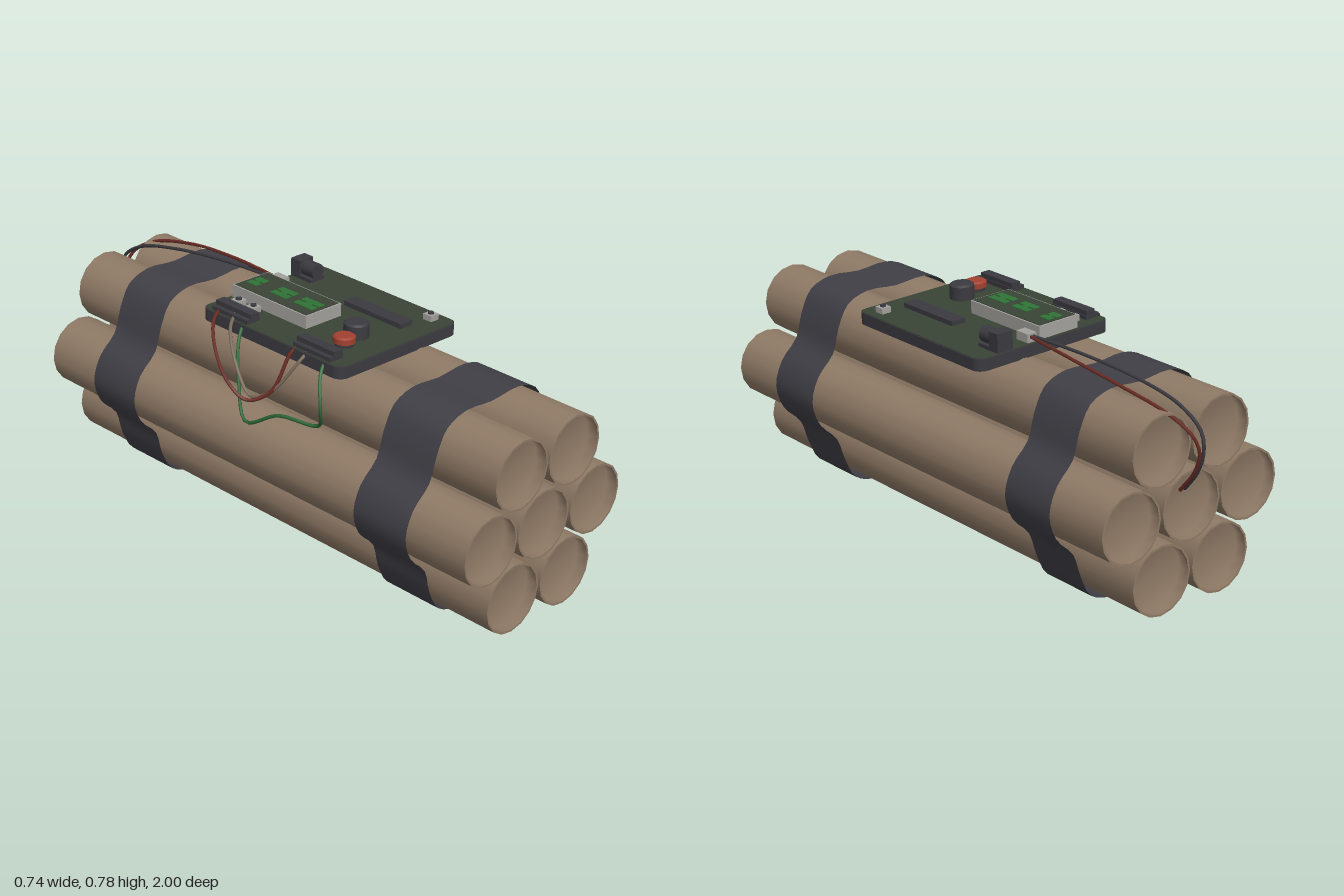
import * as THREE from 'three';
import { toCreasedNormals } from 'three/addons/utils/BufferGeometryUtils.js';

const material = (name, color, side = THREE.FrontSide) => {
  const m = new THREE.MeshStandardMaterial({ color, side });
  m.name = name;
  return m;
};

export function createModel() {
  const model = new THREE.Group();
  model.name = 'tubeBundle';

  const paper = material('brown paper', 0x8f7a66);
  const tape = material('dark tape', 0x403f46, THREE.DoubleSide);
  const plastic = material('dark plastic', 0x3a3a40);
  const boardGreen = material('board green', 0x3a4435);
  const pale = material('pale grey', 0xa3a19d);
  const redCap = material('red cap', 0xa2402f);
  const glow = material('display green', 0x2f7436);
  const redWire = material('wire red', 0x6a2c24);
  const greenWire = material('wire green', 0x2c6634);
  const tanWire = material('wire tan', 0x7a6a5c);

  const add = (parent, name, geo, mat, x = 0, y = 0, z = 0) => {
    const mesh = new THREE.Mesh(geo, mat);
    mesh.name = name;
    mesh.position.set(x, y, z);
    parent.add(mesh);
    return mesh;
  };

  // Paper tubes: outer wall with rims, plus a recessed dish at each end
  const R = 0.119, RI = 0.112, DEPTH = 0.04, BACK = -0.92, FRONT = 1.0;
  const lathe = (pts) =>
    new THREE.LatheGeometry(pts.map(([r, y]) => new THREE.Vector2(r, y)), 16).rotateX(Math.PI / 2);
  const wall = toCreasedNormals(lathe([[RI, BACK], [R, BACK], [R, FRONT], [RI, FRONT]]), 0.7);
  const backDish = lathe([[0, BACK + DEPTH], [RI, BACK + DEPTH], [RI, BACK]]);
  const frontDish = lathe([[RI, FRONT], [RI, FRONT - DEPTH], [0, FRONT - DEPTH]]);
  const centres = [
    [-0.11, 0.573], [0.133, 0.567],
    [-0.238, 0.364], [0.004, 0.359], [0.249, 0.348],
    [-0.126, 0.148], [0.12, 0.141],
  ];
  for (const [x, y] of centres) {
    const tube = new THREE.Group();
    tube.name = 'tube';
    tube.position.set(x, y, 0);
    add(tube, 'tubeWall', wall, paper);
    add(tube, 'tubeBackEnd', backDish, paper);
    add(tube, 'tubeFrontEnd', frontDish, paper);
    model.add(tube);
  }

  // Tape straps: a thin sheet following the outline of the bundle
  const outline = [
    [-0.11, 0.705], [0.01, 0.695], [0.133, 0.70], [0.215, 0.668], [0.257, 0.59],
    [0.282, 0.505], [0.345, 0.435], [0.373, 0.348], [0.345, 0.262], [0.275, 0.19],
    [0.245, 0.11], [0.2, 0.03], [0.12, 0.003], [0, 0.012], [-0.126, 0.012],
    [-0.208, 0.045], [-0.252, 0.125], [-0.275, 0.21], [-0.34, 0.28], [-0.365, 0.364],
    [-0.335, 0.448], [-0.265, 0.515], [-0.235, 0.6], [-0.192, 0.675],
  ];
  const path = new THREE.CatmullRomCurve3(
    outline.map(([x, y]) => new THREE.Vector3(x, y, 0)), true);
  const strap = (name, z0, z1) => {
    const n = 72;
    const geo = new THREE.PlaneGeometry(1, 1, n, 1);
    const pos = geo.attributes.position;
    for (let i = 0; i < pos.count; i++) {
      const p = path.getPoint((i % (n + 1)) / n);
      pos.setXYZ(i, p.x, p.y, i <= n ? z0 : z1);
    }
    geo.computeVertexNormals();
    add(model, name, geo, tape);
  };
  strap('backStrap', -0.69, -0.48);
  strap('frontStrap', 0.55, 0.77);

  // Circuit board, tilted slightly; local y = 0 is its upper face
  const CX = 0.043, CZ = 0.037;
  const board = new THREE.Group();
  board.name = 'circuitBoard';
  board.position.set(CX, 0.728, CZ);
  board.rotation.z = -0.04;
  model.add(board);

  const roundedSlab = (w, d, r, h) => {
    const s = new THREE.Shape();
    const corners = [[1, 1, 0], [-1, 1, 1], [-1, -1, 2], [1, -1, 3]];
    for (const [sx, sy, q] of corners)
      s.absarc(sx * (w / 2 - r), sy * (d / 2 - r), r, q * Math.PI / 2, (q + 1) * Math.PI / 2);
    return new THREE.ExtrudeGeometry(s, { depth: h, bevelEnabled: false, curveSegments: 4 })
      .rotateX(-Math.PI / 2);
  };
  add(board, 'boardBase', roundedSlab(0.545, 0.64, 0.035, 0.04), plastic, 0, -0.042, 0);
  add(board, 'boardFace', roundedSlab(0.537, 0.632, 0.032, 0.003), boardGreen, 0, -0.003, 0);

  // Helpers placing parts on the board by plan position and base height
  const box = (name, mat, x, z, w, d, h, y = 0) =>
    add(board, name, new THREE.BoxGeometry(w, h, d), mat, x - CX, y + h / 2, z - CZ);
  const disc = (name, mat, x, z, r, h, y = 0, top = r) =>
    add(board, name, new THREE.CylinderGeometry(top, r, h, 16), mat, x - CX, y + h / 2, z - CZ);

  // Display with glowing blocks
  box('displayCase', pale, -0.02, -0.1, 0.16, 0.345, 0.044);
  box('displayGlass', boardGreen, -0.02, -0.1, 0.148, 0.333, 0.002, 0.044);
  for (const [z, d] of [[-0.23, 0.045], [-0.105, 0.075], [0.01, 0.085]]) {
    for (const side of [-1, 1])
      box('displaySegment', glow, -0.025 + side * 0.017, z, 0.026, d, 0.002, 0.046);
    box('displaySegment', glow, -0.025, z, 0.05, d * 0.3, 0.002, 0.0465);
  }

  // Wire headers along the left side of the board
  for (const z of [-0.157, 0.22]) {
    box('header', plastic, -0.192, z, 0.056, 0.165, 0.014);
    box('headerTop', plastic, -0.185, z, 0.036, 0.165, 0.016, 0.014);
  }

  // Small push switches
  for (const [x, z] of [[-0.13, -0.21], [-0.13, -0.14], [0.262, 0.283]]) {
    box('switchBody', pale, x, z, 0.036, 0.036, 0.02);
    disc('switchPin', plastic, x, z, 0.01, 0.006, 0.02);
  }

  // Long chip and rear wire plug
  box('chip', plastic, 0.157, 0.145, 0.054, 0.255, 0.016);
  box('wirePlug', pale, 0.091, -0.245, 0.036, 0.055, 0.03);

  // Red button and dark knob
  disc('buttonBase', plastic, -0.095, 0.24, 0.03, 0.014);
  disc('redButton', redCap, -0.095, 0.24, 0.037, 0.018, 0.014);
  disc('redButtonTop', redCap, -0.095, 0.24, 0.037, 0.005, 0.032, 0.03);
  disc('knob', plastic, -0.015, 0.215, 0.042, 0.046);
  disc('knobTop', plastic, -0.015, 0.215, 0.042, 0.006, 0.046, 0.034);

  // Power socket
  box('socketFoot', plastic, 0.205, -0.23, 0.062, 0.095, 0.012);
  box('socketBack', plastic, 0.205, -0.257, 0.062, 0.042, 0.064);
  const barrel = add(board, 'socketBarrel', new THREE.CylinderGeometry(0.027, 0.027, 0.065, 14),
    plastic, 0.205 - CX, 0.035, -0.213 - CZ);
  barrel.rotation.x = Math.PI / 2;

  // Loose wires
  const wire = (name, mat, pts) => {
    const curve = new THREE.CatmullRomCurve3(pts.map((p) => new THREE.Vector3(...p)));
    add(model, name, new THREE.TubeGeometry(curve, 40, 0.006, 6), mat);
  };
  wire('backRedWire', redWire, [
    [0.094, 0.745, -0.26], [0.118, 0.735, -0.5], [0.123, 0.715, -0.72], [0.1, 0.675, -0.9],
    [0.07, 0.62, -0.98], [0.05, 0.565, -0.993], [0.04, 0.49, -0.965], [0.035, 0.41, -0.9],
  ]);
  wire('backBlackWire', plastic, [
    [0.086, 0.745, -0.26], [0.068, 0.74, -0.5], [0.048, 0.72, -0.72], [0.034, 0.68, -0.89],
    [0.028, 0.62, -0.975], [0.03, 0.56, -0.99], [0.025, 0.49, -0.965], [0.015, 0.41, -0.9],
  ]);
  wire('leftRedWire', redWire, [
    [-0.2, 0.748, -0.22], [-0.26, 0.725, -0.19], [-0.33, 0.66, -0.1], [-0.365, 0.6, 0],
    [-0.35, 0.565, 0.06], [-0.3, 0.6, 0.12], [-0.24, 0.72, 0.145], [-0.2, 0.748, 0.15],
  ]);
  wire('leftTanWire', tanWire, [
    [-0.2, 0.748, -0.15], [-0.25, 0.725, -0.12], [-0.305, 0.65, -0.04], [-0.315, 0.56, 0.04],
    [-0.295, 0.6, 0.12], [-0.245, 0.71, 0.19], [-0.2, 0.748, 0.2],
  ]);
  wire('leftGreenWire', greenWire, [
    [-0.2, 0.748, -0.1], [-0.25, 0.7, -0.08], [-0.3, 0.57, -0.03], [-0.33, 0.47, 0.03],
    [-0.305, 0.53, 0.16], [-0.26, 0.525, 0.29], [-0.285, 0.6, 0.325], [-0.25, 0.7, 0.29],
    [-0.2, 0.748, 0.27],
  ]);

  return model;
}
